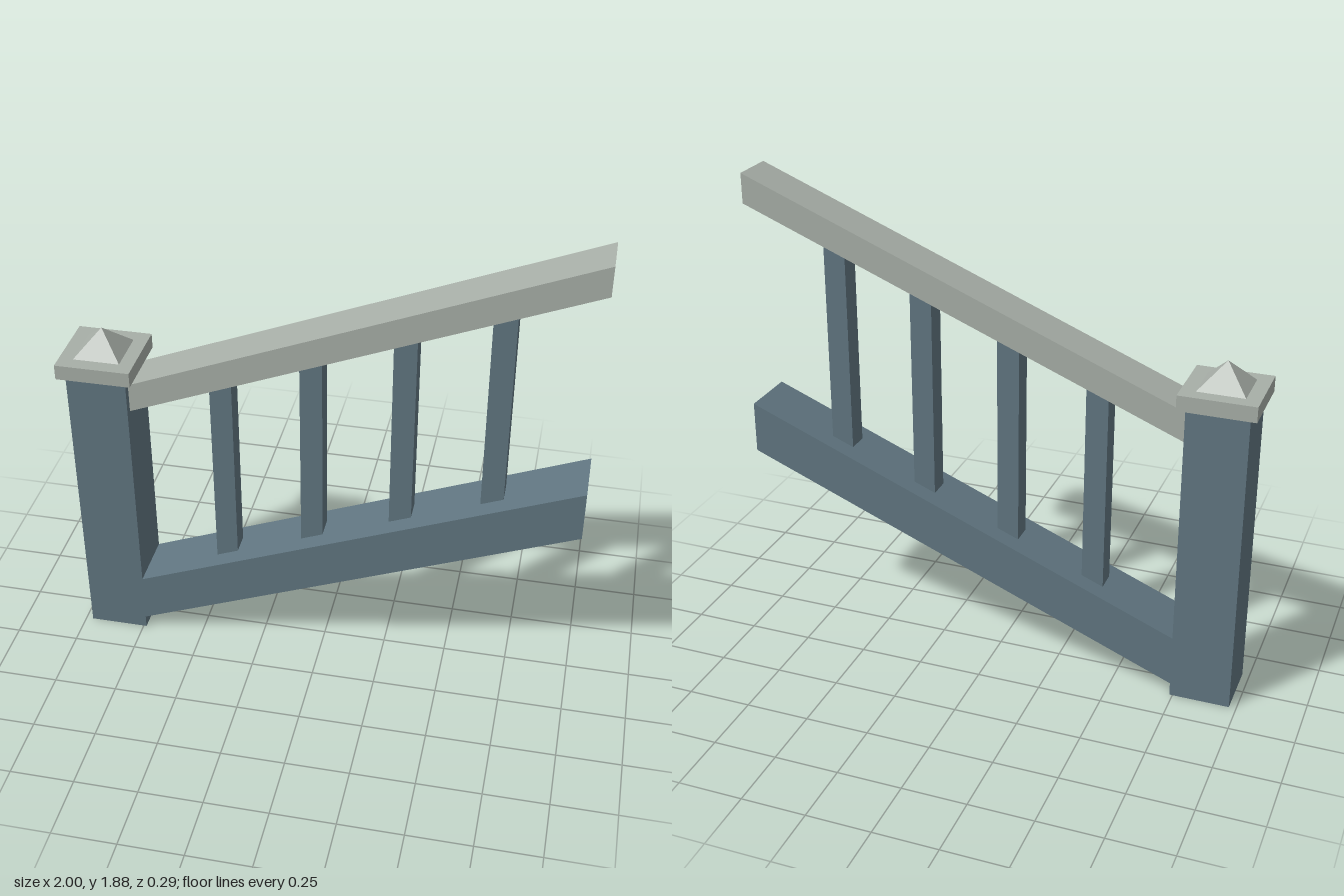
import * as THREE from 'three';

const X0 = -0.74, X1 = 1, SLOPE = 0.7 / 1.74;

export function createModel() {
  const group = new THREE.Group();
  group.name = 'stairRailing';
  const blue = new THREE.MeshStandardMaterial({ name: 'slate blue paint', color: 0x607580 });
  const grey = new THREE.MeshStandardMaterial({ name: 'pale grey paint', color: 0xa7aea7 });

  const add = (name, geometry, material, x, y) => {
    const mesh = new THREE.Mesh(geometry, material);
    mesh.name = name;
    mesh.position.set(x, y, 0);
    group.add(mesh);
    return mesh;
  };

  // Box with vertical ends whose top and bottom follow the stair slope
  const slopedBox = (width, height, depth) => {
    const g = new THREE.BoxGeometry(width, height, depth);
    const p = g.attributes.position;
    for (let i = 0; i < p.count; i++) p.setY(i, p.getY(i) + p.getX(i) * SLOPE);
    g.computeVertexNormals();
    return g;
  };

  // Newel post with its cap and pyramid finial
  const postX = -0.855;
  add('newelPost', new THREE.BoxGeometry(0.234, 1.213, 0.234), blue, postX, 0.6065);
  add('postCap', new THREE.BoxGeometry(0.29, 0.06, 0.292), grey, postX, 1.243);
  const pyramid = new THREE.ConeGeometry(0.09 * Math.SQRT2, 0.097, 4, 1).rotateY(Math.PI / 4).toNonIndexed();
  pyramid.computeVertexNormals();
  add('postFinial', pyramid, grey, postX, 1.3215);

  // Sloping stringer and handrail
  const midX = (X0 + X1) / 2, length = X1 - X0;
  add('stringer', slopedBox(length, 0.203, 0.234), blue, midX, 0.503);
  add('handrail', slopedBox(length, 0.117, 0.176), grey, midX, 1.474);

  // Evenly spaced balusters between stringer and handrail
  const bottom = 0.6045, top = 1.4155;
  for (let i = 1; i <= 4; i++) {
    const x = X0 + (length * i) / 5;
    add('baluster' + i, slopedBox(0.086, top - bottom, 0.086), blue, x, (top + bottom) / 2 + (x - midX) * SLOPE);
  }
  return group;
}
